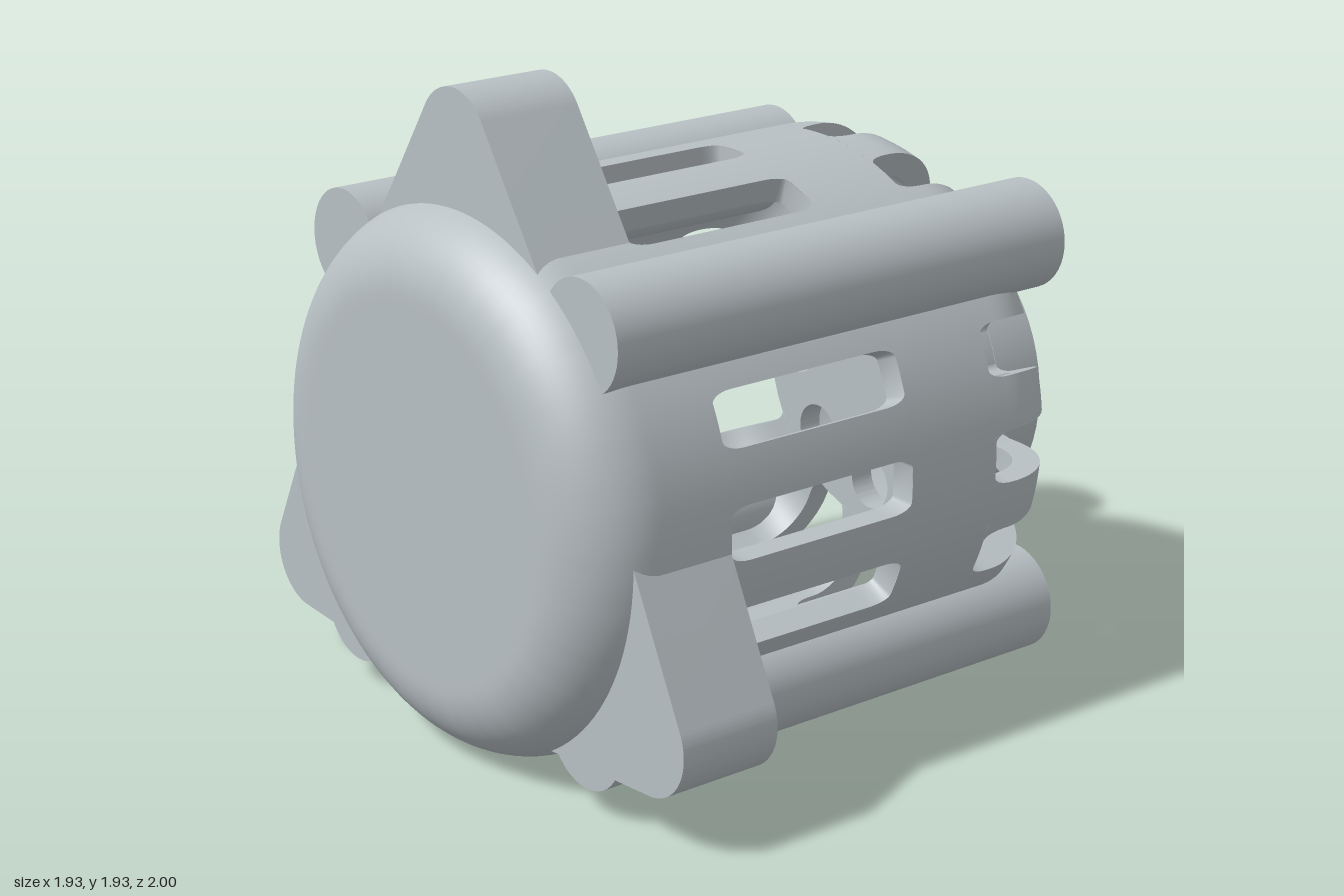
import * as THREE from 'three';
import { toCreasedNormals } from 'three/addons/utils/BufferGeometryUtils.js';

const R = 0.805, WALL = 0.08, FILLET = 0.24, X0 = -0.965, X1 = 0.8;
const FLAT = R - FILLET, ARC = FILLET * Math.PI / 2, HUB = 0.482;
const CELL = Math.PI / 8, SLOT = 0.08;

// Shell profile: distance s along the outside -> [x, radius], inside or outside
function profile(s, inner) {
  const f = inner ? FILLET - WALL : FILLET;
  const straight = X1 - X0 - 2 * FILLET;
  if (s <= FLAT) return [inner ? X0 + WALL : X0, s];
  s -= FLAT;
  if (s <= ARC) return [X0 + FILLET - f * Math.cos(s / FILLET), FLAT + f * Math.sin(s / FILLET)];
  s -= ARC;
  if (s <= straight) return [X0 + FILLET + s, FLAT + f];
  s -= straight;
  if (s <= ARC) return [X1 - FILLET + f * Math.sin(s / FILLET), FLAT + f * Math.cos(s / FILLET)];
  return [inner ? X1 - WALL : X1, FLAT - (s - ARC)];
}
const sAt = (x) => FLAT + ARC + x - X0 - FILLET;
const S_END = FLAT * 2 + ARC * 2 + X1 - X0 - 2 * FILLET - HUB;

// Hollow shell of 16 cells with two rows of rounded slots
function shellGeometry() {
  const pos = [];
  const quad = (a, b, c, d, flip) => {
    const q = flip ? [a, c, b, a, d, c] : [a, b, c, a, c, d];
    q.forEach((p) => pos.push(...p));
  };
  const bands = [
    [0, sAt(-0.49), false], [sAt(-0.49), sAt(0.16), true],
    [sAt(0.16), sAt(0.48), false], [sAt(0.48), S_END, true],
  ];
  for (const [from, to, slotted] of bands) {
    const stations = [];
    const ends = [0, 0.004, 0.015, 0.03, 0.05];
    if (slotted) {
      ends.forEach((d) => stations.push(from + d));
      for (let i = 0; i <= 20; i++) stations.push(from + 0.07 + (to - from - 0.14) * i / 20);
      ends.reverse().forEach((d) => stations.push(to - d));
    } else {
      const n = from === 0 ? 48 : 4;
      for (let i = 0; i <= n; i++) stations.push(from + (to - from) * i / n);
    }
    // Half width of the slot, with rounded corners
    const halfWidth = (s) => {
      const d = Math.min(s - from, to - s, 0.07) / 0.07;
      return SLOT - 0.028 * (1 - Math.sqrt(Math.max(0, 1 - (1 - d) ** 2)));
    };
    for (let k = 0; k < 16; k++) {
      const open = slotted && k % 4 !== 2;
      const point = (s, f, side, inner) => {
        const [x, r] = profile(s, inner);
        const a = open ? Math.asin(halfWidth(s) / r) : 0;
        const t = k * CELL + side * (a + f * (CELL / 2 - a));
        return [x, r * Math.cos(t), r * Math.sin(t)];
      };
      for (const side of [1, -1]) {
        for (let i = 0; i < stations.length - 1; i++) {
          const s = stations[i], e = stations[i + 1];
          for (let j = 0; j < 4; j++) {
            for (const inner of [false, true]) {
              quad(point(s, j / 4, side, inner), point(s, (j + 1) / 4, side, inner),
                point(e, (j + 1) / 4, side, inner), point(e, j / 4, side, inner), inner !== (side < 0));
            }
          }
          if (open) {
            quad(point(s, 0, side, false), point(e, 0, side, false),
              point(e, 0, side, true), point(s, 0, side, true), side < 0);
          }
        }
      }
      if (open) {
        for (const s of [from, to]) {
          quad(point(s, 0, -1, false), point(s, 0, 1, false),
            point(s, 0, 1, true), point(s, 0, -1, true), s === to);
        }
      }
    }
  }
  const g = new THREE.BufferGeometry();
  g.setAttribute('position', new THREE.Float32BufferAttribute(pos, 3));
  return toCreasedNormals(g, 0.6);
}

// Extrudes a cross-section along x, starting at the given x
function extrudeX(shape, x, depth) {
  const g = new THREE.ExtrudeGeometry(shape, { depth, bevelEnabled: false, curveSegments: 32 });
  g.rotateY(Math.PI / 2).translate(x, 0, 0);
  return toCreasedNormals(g, 0.6);
}

export function createModel() {
  const model = new THREE.Group();
  model.name = 'slottedMotorHousing';
  const metal = new THREE.MeshStandardMaterial({ color: 0xb8c0c4 });
  metal.name = 'greyMetal';

  const housing = new THREE.Group();
  housing.name = 'housing';
  housing.position.y = R;
  model.add(housing);
  const add = (name, geometry) => {
    const mesh = new THREE.Mesh(geometry, metal);
    mesh.name = name;
    housing.add(mesh);
    return mesh;
  };

  add('shell', shellGeometry());

  // End plate with a ring of through holes
  const plate = new THREE.Shape().absarc(0, 0, HUB, 0, Math.PI * 2);
  for (let i = 0; i < 8; i++) {
    const a = i * Math.PI / 4;
    plate.holes.push(new THREE.Path().absarc(0.355 * Math.cos(a), 0.355 * Math.sin(a), 0.083, 0, Math.PI * 2, true));
  }
  add('endPlate', extrudeX(plate, X1 - WALL, WALL));

  // Thin collar around the end plate
  const collar = new THREE.Shape().absarc(0, 0, 0.484, 0, Math.PI * 2);
  collar.holes.push(new THREE.Path().absarc(0, 0, 0.46, 0, Math.PI * 2, true));
  add('collar', extrudeX(collar, X1 - 0.002, 0.167));

  // Four long rods on the diagonals
  for (const sy of [1, -1]) {
    for (const sz of [1, -1]) {
      const rod = add('rod', new THREE.CylinderGeometry(0.162, 0.162, 1.61, 48).rotateZ(-Math.PI / 2));
      rod.position.set(-0.005, sy * 0.566, sz * 0.566);
    }
  }

  // Three rounded mounting lugs
  const tilt = Math.atan2(0.56, 0.83), foot = Math.atan2(0.658, 0.402);
  const lug = new THREE.Shape();
  lug.moveTo(0.402, 0.658);
  lug.absarc(0, 0.97, 0.16, tilt, Math.PI - tilt);
  lug.lineTo(-0.402, 0.658);
  lug.absarc(0, 0, 0.771, Math.PI - foot, foot, true);
  const lugGeometry = extrudeX(lug, -0.81, 0.32);
  for (let i = 0; i < 3; i++) add('mountingLug', lugGeometry).rotation.x = i * Math.PI * 2 / 3;

  return model;
}
